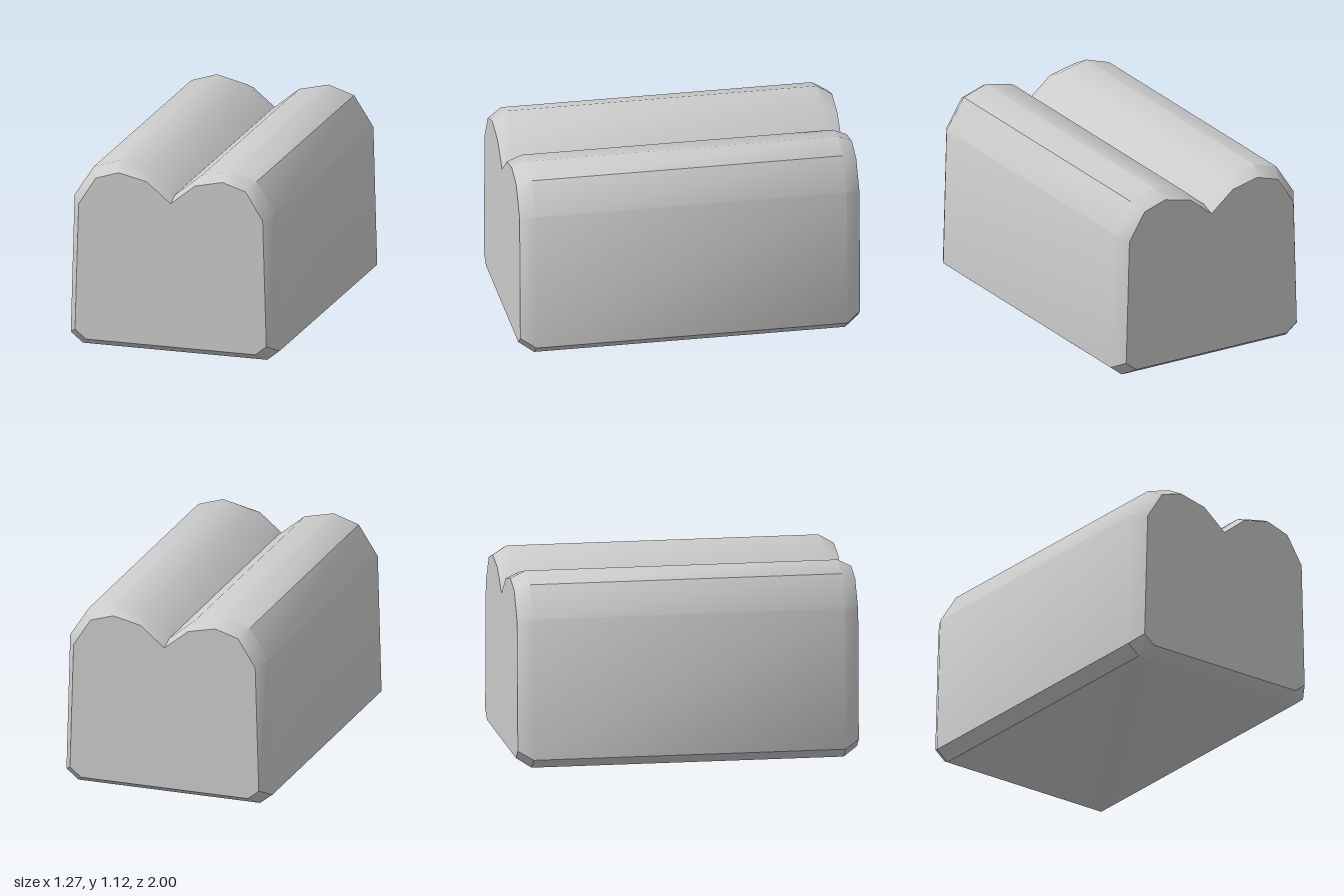
import * as THREE from 'three';
import { toCreasedNormals } from 'three/addons/utils/BufferGeometryUtils.js';

// Half profiles (left side, bottom to the valley): full body and inset end face
const BODY = [[0.56, 0], [0.635, 0.06], [0.612, 0.89], [0.495, 1.07], [0.34, 1.12], [0.16, 1.077], [0, 0.945]];
const END = [[0.515, 0.05], [0.582, 0.105], [0.56, 0.862], [0.456, 1.028], [0.315, 1.073], [0.147, 1.035], [0, 0.915]];

// Mirror a half profile into a closed counter-clockwise outline
function outline(half) {
  const mirrored = half.slice(0, -1).reverse().map(([x, y]) => [-x, y]);
  return [...half, ...mirrored].map(([x, y]) => new THREE.Vector2(x, y));
}

// Loft through the sections (front to back) and close both ends
function loft(sections) {
  const positions = [];
  const put = (s, i) => {
    const p = s.points[i % s.points.length];
    positions.push(p.x, p.y, s.z);
  };
  for (let k = 0; k < sections.length - 1; k++) {
    const a = sections[k], b = sections[k + 1];
    for (let i = 0; i < a.points.length; i++) {
      put(a, i); put(b, i); put(b, i + 1);
      put(a, i); put(b, i + 1); put(a, i + 1);
    }
  }
  const front = sections[0], back = sections[sections.length - 1];
  for (const [i, j, k] of THREE.ShapeUtils.triangulateShape(front.points, [])) {
    put(front, i); put(front, j); put(front, k);
    put(back, i); put(back, k); put(back, j);
  }
  const geometry = new THREE.BufferGeometry();
  geometry.setAttribute('position', new THREE.Float32BufferAttribute(positions, 3));
  return toCreasedNormals(geometry, THREE.MathUtils.degToRad(36));
}

export function createModel() {
  const group = new THREE.Group();
  const body = outline(BODY), end = outline(END);

  // Twin-topped loaf with bevelled ends
  const loaf = new THREE.Mesh(
    loft([
      { points: end, z: 1 },
      { points: body, z: 0.915 },
      { points: body, z: -0.915 },
      { points: end, z: -1 },
    ]),
    new THREE.MeshStandardMaterial({ color: 0xcccccc })
  );
  loaf.name = 'loaf';
  group.add(loaf);
  return group;
}
